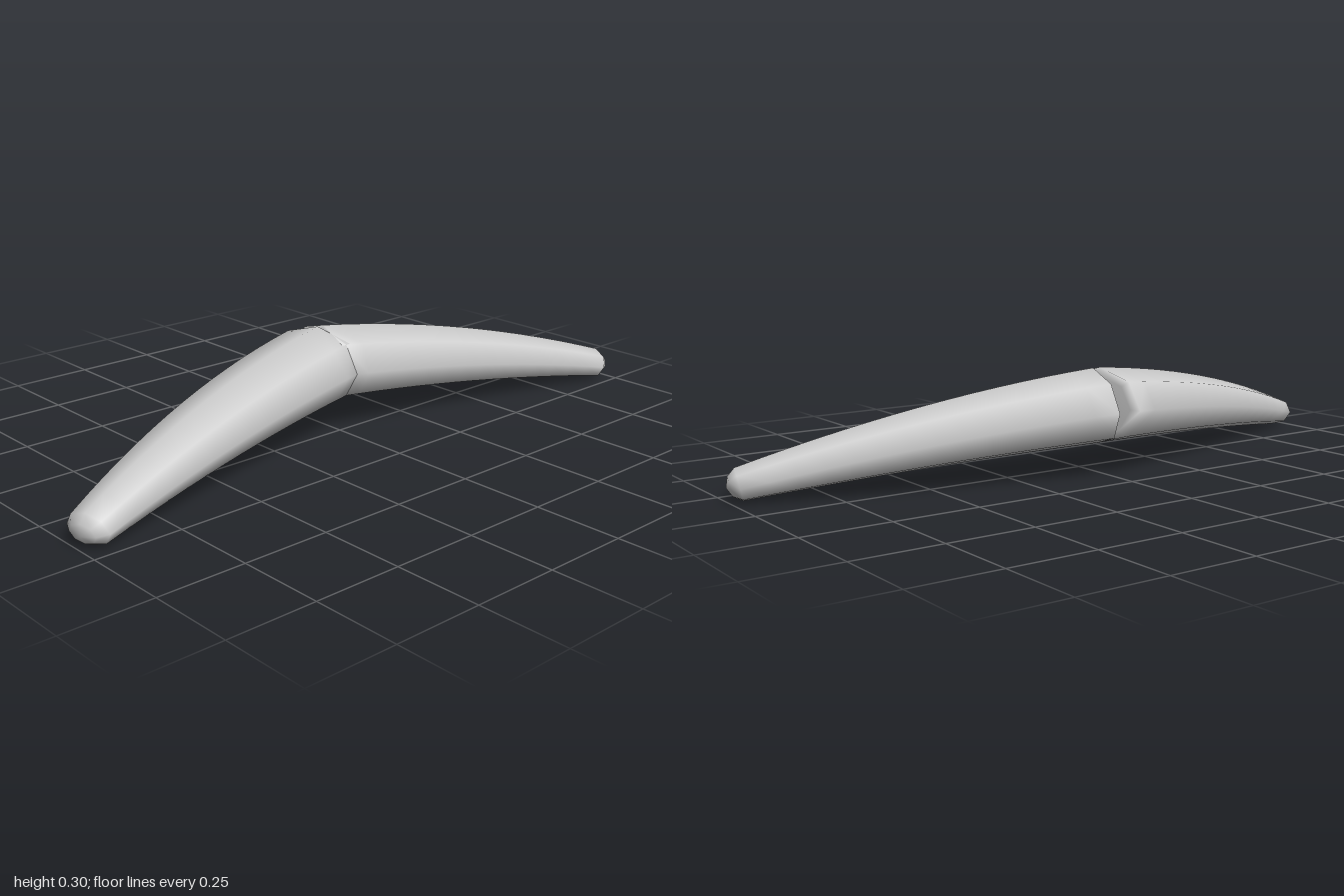
import * as THREE from 'three';

const SIDES = 8;
const SEGMENTS = 14;

// Quadratic through start, middle and end values
function curve(a, mid, b, t) {
  const c = 2 * mid - (a + b) / 2;
  return a * (1 - t) ** 2 + 2 * c * t * (1 - t) + b * t * t;
}

// Tapered, bowed arm with slightly domed ends; side = 1 or -1 mirrors it
function armGeometry(side) {
  const path = (t) => new THREE.Vector3(
    0.004 + 0.964 * t,
    curve(0.195, 0.141, 0.047, t),
    curve(-0.085, 0.03, 0.178, t));

  const positions = [];
  const indices = [];
  const push = (p) => positions.push(p.x * side, p.y, p.z);
  const tri = (a, b, c) => indices.push(...(side > 0 ? [a, b, c] : [a, c, b]));

  // Each station: place on the path, offset along it, size of the section
  const stations = [{ t: 0, offset: -0.006, scale: 0.8 }];
  for (let i = 0; i <= SEGMENTS; i++) stations.push({ t: i / SEGMENTS, offset: 0, scale: 1 });
  stations.push({ t: 1, offset: 0.023, scale: 0.62 });

  const tangentAt = (t) => path(t + 0.001).sub(path(t - 0.001)).normalize();
  for (const { t, offset, scale } of stations) {
    const tangent = tangentAt(t);
    const across = new THREE.Vector3(-tangent.z, 0, tangent.x).normalize();
    const up = across.clone().cross(tangent);
    const centre = path(t).addScaledVector(tangent, offset);
    const width = curve(0.158, 0.124, 0.066, t) * scale;
    const height = curve(0.109, 0.086, 0.046, t) * scale;
    for (let j = 0; j < SIDES; j++) {
      const a = (j / SIDES) * Math.PI * 2;
      push(centre.clone()
        .addScaledVector(across, width * Math.cos(a))
        .addScaledVector(up, height * Math.sin(a)));
    }
  }

  // Pole points of the two end caps
  const inner = stations.length * SIDES;
  const outer = inner + 1;
  push(path(0).addScaledVector(tangentAt(0), -0.009));
  push(path(1).addScaledVector(tangentAt(1), 0.034));

  const last = (stations.length - 1) * SIDES;
  for (let j = 0; j < SIDES; j++) {
    const k = (j + 1) % SIDES;
    for (let r = 0; r < last; r += SIDES) {
      tri(r + j, r + SIDES + j, r + k);
      tri(r + k, r + SIDES + j, r + SIDES + k);
    }
    tri(inner, j, k);
    tri(outer, last + k, last + j);
  }

  const geometry = new THREE.BufferGeometry();
  geometry.setAttribute('position', new THREE.Float32BufferAttribute(positions, 3));
  geometry.setIndex(indices);
  geometry.computeVertexNormals();
  return geometry;
}

export function createModel() {
  const model = new THREE.Group();
  model.name = 'curvedPair';
  const grey = new THREE.MeshStandardMaterial({ color: 0xcccccc });
  grey.name = 'light grey';

  for (const side of [1, -1]) {
    const arm = new THREE.Mesh(armGeometry(side), grey);
    arm.name = side > 0 ? 'leftArm' : 'rightArm';
    model.add(arm);
  }
  return model;
}
